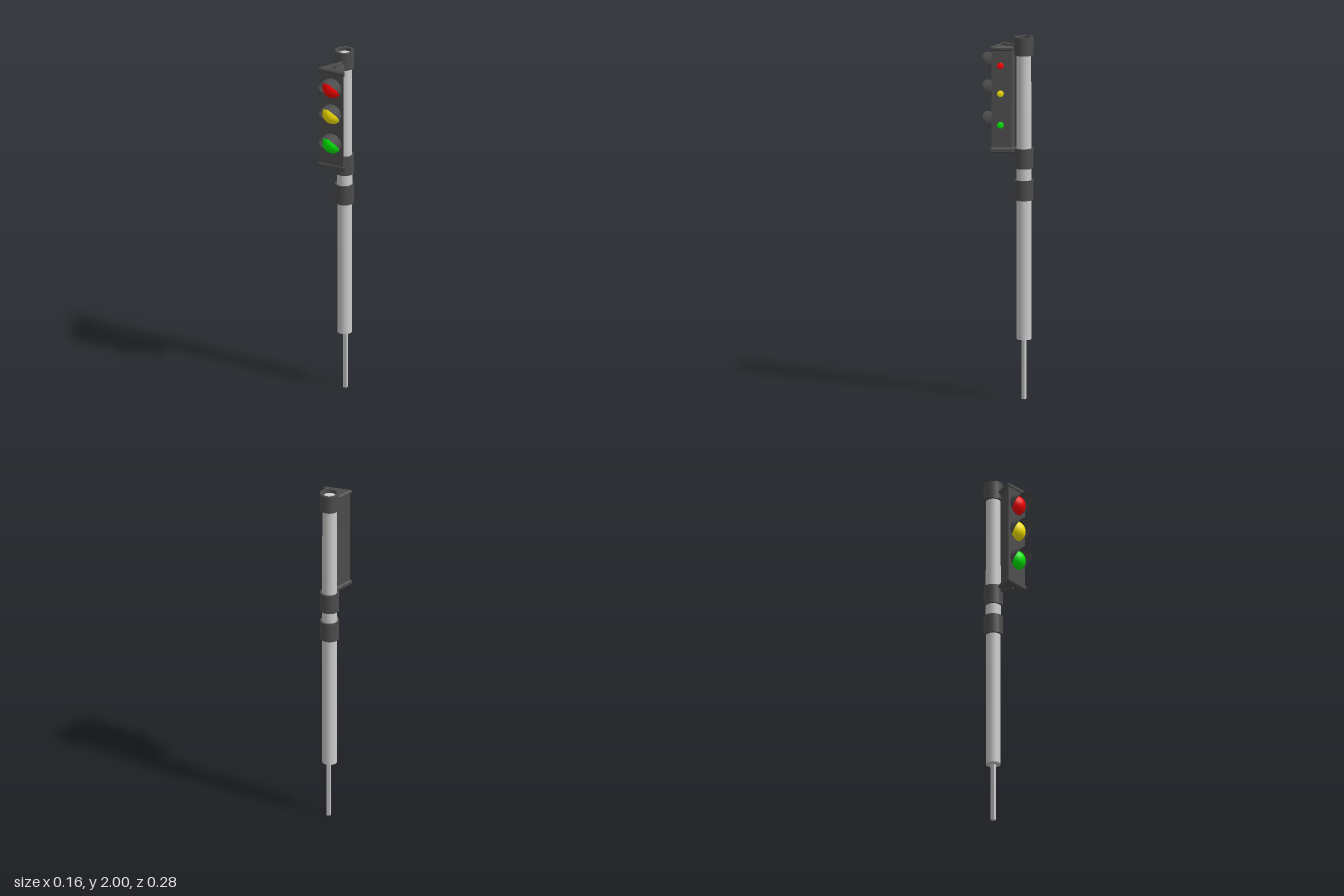
import * as THREE from 'three';

const material = (color, side = THREE.FrontSide) => new THREE.MeshStandardMaterial({ color, side });
const steel = material(0xcccccc);
const dark = material(0x4c4c4c);
const darkThin = material(0x4c4c4c, THREE.DoubleSide);

const POLE_X = -0.004, POLE_Z = -0.092, HOUSING_X = -0.002;

function add(parent, name, geometry, mat, x = 0, y = 0, z = 0) {
  const mesh = new THREE.Mesh(geometry, mat);
  mesh.name = name;
  mesh.position.set(x, y, z);
  parent.add(mesh);
  return mesh;
}

// Horizontal trapezoid plate or prism between two heights, wide side to the front
function trapezoid(frontHalf, backHalf, front, back, y0, y1, bevel = 0) {
  const shape = new THREE.Shape([
    new THREE.Vector2(-frontHalf, front), new THREE.Vector2(-backHalf, back),
    new THREE.Vector2(backHalf, back), new THREE.Vector2(frontHalf, front),
  ]);
  const geometry = new THREE.ExtrudeGeometry(shape, {
    depth: y1 - y0 - 2 * bevel, bevelEnabled: bevel > 0, bevelSize: bevel,
    bevelOffset: -bevel, bevelThickness: bevel, bevelSegments: 1,
  });
  geometry.rotateX(Math.PI / 2);
  geometry.translate(0, y1 - bevel, 0);
  return geometry;
}

// Sleeve with a bore, flat ends and crisp edges
function sleeve(inner, outer, height) {
  const shape = new THREE.Shape().absarc(0, 0, outer, 0, Math.PI * 2);
  shape.holes.push(new THREE.Path().absarc(0, 0, inner, 0, Math.PI * 2, true));
  const geometry = new THREE.ExtrudeGeometry(shape, { depth: height, bevelEnabled: false, curveSegments: 32 });
  return geometry.rotateX(-Math.PI / 2);
}

// Curved hood: an arc around the lamp whose reach fades towards its lower tips
function visorGeometry(radius) {
  const cols = 40, rows = 3, start = 0.06, spread = THREE.MathUtils.degToRad(130);
  const geometry = new THREE.PlaneGeometry(1, 1, cols, rows);
  const pos = geometry.attributes.position;
  for (let i = 0; i < pos.count; i++) {
    const angle = pos.getX(i) * 2 * spread;
    const fade = THREE.MathUtils.clamp((Math.abs(angle) - 0.75) / (spread - 0.75), 0, 1);
    const reach = 0.14 - (0.14 - start - 0.004) * Math.pow(fade, 1.15);
    const z = THREE.MathUtils.lerp(start, reach, 0.5 - pos.getY(i));
    pos.setXYZ(i, Math.sin(angle) * radius, Math.cos(angle) * radius, z);
  }
  geometry.computeVertexNormals();
  return geometry;
}

export function createModel() {
  const model = new THREE.Group();
  model.name = 'trafficLight';

  // Pole, with a thin square spike below it
  const pole = new THREE.Group();
  pole.name = 'pole';
  pole.position.set(POLE_X, 0, POLE_Z);
  model.add(pole);
  add(pole, 'groundSpike', new THREE.BoxGeometry(0.021, 0.36, 0.021), steel, 0.004, 0.18, -0.002);
  add(pole, 'lowerPole', new THREE.CylinderGeometry(0.04, 0.04, 0.82, 32), steel, 0, 0.74);
  add(pole, 'upperPole', new THREE.CylinderGeometry(0.039, 0.042, 0.84, 32), steel, 0, 1.56);

  // Dark sleeves: bottom and top heights
  [[1.1, 1.21], [1.275, 1.385], [1.9, 2]].forEach(([y0, y1]) =>
    add(pole, 'collar', sleeve(0.037, 0.052, y1 - y0), dark, 0, y0));

  // Signal housing with bevelled end caps
  const housing = new THREE.Group();
  housing.name = 'housing';
  housing.position.x = HOUSING_X;
  model.add(housing);
  add(housing, 'housingBody', trapezoid(0.073, 0.02, 0.066, -0.027, 1.37, 1.935), dark);
  [[1.92, 1.945], [1.355, 1.385]].forEach(([y0, y1]) =>
    add(housing, 'housingCap', trapezoid(0.082, 0.027, 0.07, -0.037, y0, y1, 0.007), dark));

  // Bars joining the housing to the collars
  [1.946, 1.356].forEach((y) =>
    add(model, 'bracket', new THREE.BoxGeometry(0.02, 0.016, 0.085), dark, 0.001, y, -0.005));

  // Lamps and their hoods
  const lampGeometry = new THREE.SphereGeometry(0.058, 32, 24);
  const visor = visorGeometry(0.059);
  [['redLamp', 0xff0000, 1.836], ['yellowLamp', 0xffea00, 1.682], ['greenLamp', 0x00f000, 1.508]]
    .forEach(([name, color, y]) => {
      add(model, name, lampGeometry, material(color), 0, y, 0.052);
      add(model, 'visor', visor, darkThin, -0.001, y, 0);
    });

  return model;
}
